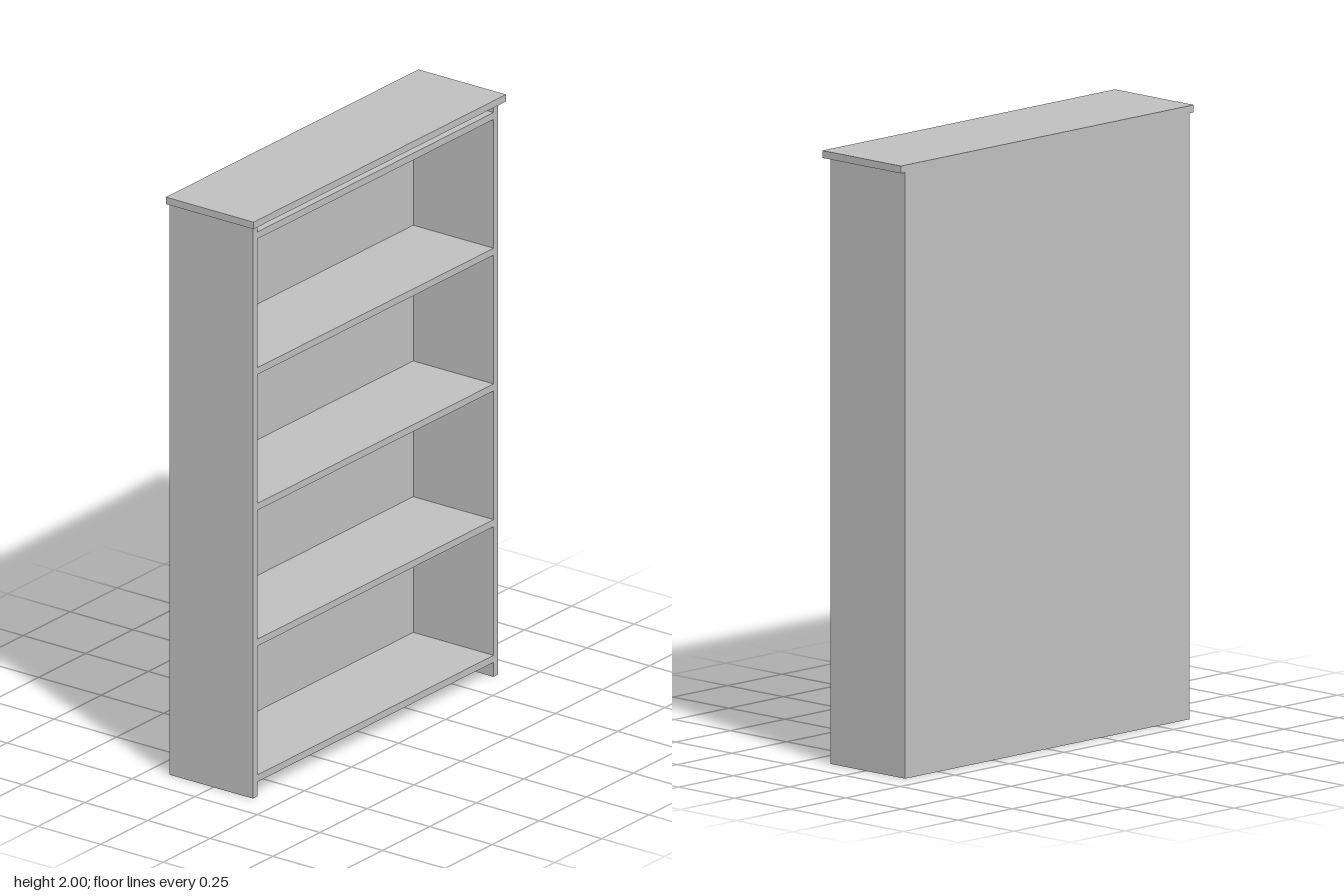
import * as THREE from 'three';

export function createModel() {
  const group = new THREE.Group();
  group.name = 'bookcase';
  const grey = new THREE.MeshStandardMaterial({ color: 0xbfbfbf });
  grey.name = 'grey';

  // Box given by its min and max corners
  function board(name, [x0, y0, z0], [x1, y1, z1]) {
    const mesh = new THREE.Mesh(new THREE.BoxGeometry(x1 - x0, y1 - y0, z1 - z0), grey);
    mesh.position.set((x0 + x1) / 2, (y0 + y1) / 2, (z0 + z1) / 2);
    mesh.name = name;
    group.add(mesh);
  }

  const outer = 0.651, inner = 0.627, back = -0.175, front = 0.158;
  const lidBottom = 1.976, backInner = back + 0.012;

  // Overhanging top, flush at the back
  board('topBoard', [-0.67, lidBottom, back], [0.67, 2, 0.175]);

  // Side panels and back panel, all reaching the floor
  board('leftSide', [inner, 0, back], [outer, lidBottom, front]);
  board('rightSide', [-outer, 0, back], [-inner, lidBottom, front]);
  board('backPanel', [-inner, 0, back], [inner, lidBottom, backInner]);

  // Five evenly spaced shelves, the lowest raised off the floor
  for (let i = 0; i < 5; i++) {
    const y = 0.05 + i * 0.4685;
    board('shelf' + (i + 1), [-inner, y, backInner], [inner, y + 0.024, front]);
  }
  return group;
}
